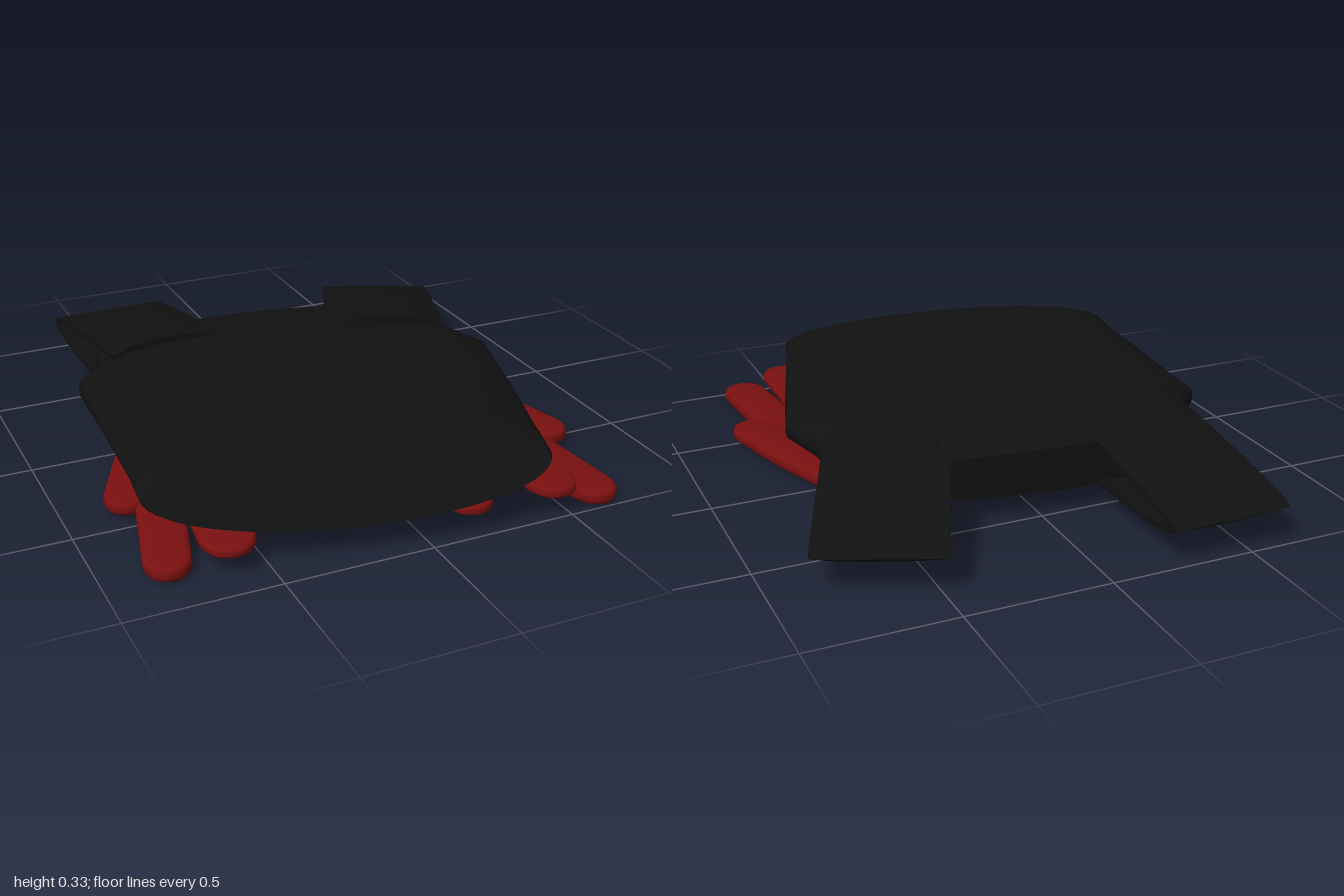
import * as THREE from 'three';
import { toCreasedNormals } from 'three/addons/utils/BufferGeometryUtils.js';

const black = new THREE.MeshStandardMaterial({ color: 0x111111, side: THREE.DoubleSide });
const red = new THREE.MeshStandardMaterial({ color: 0x7a1010 });

function add(parent, name, geometry, material) {
  const mesh = new THREE.Mesh(geometry, material);
  mesh.name = name;
  parent.add(mesh);
  return mesh;
}

// Padded torso: lens-shaped sections from the hem (+z) to the neck (-z).
// Row: left x, left z, right x, right z, top y, bottom y, edge y, slant, bow, roundness
function torsoGeometry() {
  const rows = [
    [-0.83, 0.72, 0.43, 0.955, 0.322, 0.095, 0.205, -0.9, 0.01, 1],
    [-0.84, 0.70, 0.445, 0.94, 0.33, 0.09, 0.205, -0.85, 0.01, 1],
    [-0.83, 0.60, 0.48, 0.82, 0.33, 0.09, 0.205, -0.3, 0.0, 1],
    [-0.825, 0.58, 0.485, 0.80, 0.325, 0.09, 0.205, -0.3, 0.0, 1],
    [-0.80, 0.20, 0.62, 0.37, 0.315, 0.085, 0.2, 0, 0, 0.9],
    [-0.785, -0.05, 0.70, 0.10, 0.302, 0.08, 0.19, 0, 0, 0.8],
    [-0.775, -0.17, 0.655, -0.03, 0.297, 0.078, 0.185, 0, 0, 0.65],
    [-0.66, -0.28, 0.63, -0.14, 0.285, 0.075, 0.175, 0, 0, 0.55],
    [-0.64, -0.40, 0.60, -0.28, 0.262, 0.075, 0.165, 0, -0.02, 0.5],
    [-0.62, -0.50, 0.55, -0.38, 0.237, 0.078, 0.155, 0, -0.05, 0.5],
  ];
  const N = 56, pos = [], idx = [];
  for (const [lx, lz, rx, rz, top, bottom, edge, slant, bow, round] of rows) {
    for (let j = 0; j < N; j++) {
      const a = (j / N) * Math.PI * 2, s = Math.sin(a), u = (1 - Math.cos(a)) / 2;
      const h = Math.sign(s) * Math.pow(Math.abs(s), round);
      const y = edge + h * (s > 0 ? top - edge : edge - bottom);
      pos.push(lx + (rx - lx) * u, y, lz + (rz - lz) * u + slant * (y - edge) + bow * Math.sin(Math.PI * u));
    }
  }
  for (let i = 0; i < rows.length - 1; i++) for (let j = 0; j < N; j++) {
    const k = (j + 1) % N, a = i * N + j, b = i * N + k;
    idx.push(a, b, b + N, a, b + N, a + N);
  }
  // Close both ends with strips between upper and lower edges
  const last = (rows.length - 1) * N;
  for (let j = 0; j < N / 2; j++) {
    const a = j, b = j + 1, c = (N - j) % N, d = N - j - 1;
    idx.push(a, c, d, a, d, b, last + a, last + d, last + c, last + a, last + b, last + d);
  }
  const geo = new THREE.BufferGeometry();
  geo.setAttribute('position', new THREE.Float32BufferAttribute(pos, 3));
  geo.setIndex(idx);
  return toCreasedNormals(geo, 0.6);
}

// Hollow shoulder loop: side profile measured from the tip, extruded across its width
function strapGeometry(width) {
  const profile = [
    [0.76, 0.302], [0.5, 0.26], [0.25, 0.208], [0.08, 0.165], [0.015, 0.14], [0, 0.122], [0.05, 0.088], [0.2, 0.066], [0.76, 0.062],
    [0.76, 0.085], [0.22, 0.088], [0.1, 0.105], [0.05, 0.125], [0.11, 0.155], [0.27, 0.188], [0.5, 0.236], [0.76, 0.278],
  ];
  const shape = new THREE.Shape(profile.map(([d, y]) => new THREE.Vector2(d, y)));
  const geo = new THREE.ExtrudeGeometry(shape, { depth: width, steps: 10, bevelEnabled: false });
  geo.translate(0, 0, -width / 2);
  const p = geo.attributes.position;
  for (let i = 0; i < p.count; i++) {
    const s = Math.abs(p.getZ(i)) / (width / 2);
    const y = p.getY(i);
    p.setY(i, 0.13 + (y - 0.13) * (1 - 0.22 * s * s * s));
  }
  return toCreasedNormals(geo, 0.6);
}

// Flat round-ended feather from its root towards its tip
function featherGeometry(length, half, thick) {
  const b = 0.014, w = half - b, s = new THREE.Shape();
  s.moveTo(-w * 0.6, 0);
  s.lineTo(-w, length * 0.55);
  s.lineTo(-w * 0.92, length - half);
  s.quadraticCurveTo(-w * 0.75, length - b, 0, length - b);
  s.quadraticCurveTo(w * 0.75, length - b, w * 0.92, length - half);
  s.lineTo(w, length * 0.55);
  s.lineTo(w * 0.6, 0);
  s.closePath();
  const geo = new THREE.ExtrudeGeometry(s, {
    depth: thick * 0.2, bevelThickness: thick * 0.4, bevelSize: b, bevelSegments: 3, curveSegments: 8,
  });
  geo.translate(0, 0, -thick * 0.1);
  geo.rotateX(Math.PI / 2);
  return toCreasedNormals(geo, 0.7);
}

export function createModel() {
  const model = new THREE.Group();
  model.name = 'paddedVest';
  add(model, 'torso', torsoGeometry(), black);

  // Shoulder straps: tip position and turn
  for (const [name, x, z, turn] of [
    ['rightShoulderStrap', -0.43, -0.99, -0.02],
    ['leftShoulderStrap', 0.68, -0.785, 0.4],
  ]) {
    const strap = add(model, name, strapGeometry(0.425), black);
    strap.position.set(x, 0, z);
    strap.rotation.y = -(Math.PI / 2 + turn);
  }

  // Folded feather wings: root x, root z, tip x, tip z, height, half width, thickness
  const wings = {
    leftWing: [
      [0.50, -0.2, 0.73, 0.58, 0.034, 0.085, 0.045],
      [0.52, -0.2, 0.64, 0.995, 0.024, 0.085, 0.045],
      [0.46, -0.15, 0.47, 0.995, 0.078, 0.09, 0.035],
      [0.42, -0.15, 0.15, 0.985, 0.082, 0.085, 0.03],
    ],
    rightWing: [
      [-0.50, -0.2, -0.82, 0.45, 0.034, 0.08, 0.045],
      [-0.52, -0.2, -0.81, 0.865, 0.024, 0.08, 0.045],
      [-0.46, -0.15, -0.62, 0.905, 0.076, 0.095, 0.035],
      [-0.42, -0.15, -0.44, 0.83, 0.082, 0.09, 0.03],
    ],
  };
  for (const [name, feathers] of Object.entries(wings)) {
    const wing = new THREE.Group();
    wing.name = name;
    for (const [rx, rz, tx, tz, y, half, thick] of feathers) {
      const f = add(wing, 'feather', featherGeometry(Math.hypot(tx - rx, tz - rz), half, thick), red);
      f.position.set(rx, y, rz);
      f.rotation.y = Math.atan2(tx - rx, tz - rz);
    }
    model.add(wing);
  }

  // Strap holding the wings together underneath
  const band = new THREE.Shape();
  band.moveTo(-0.65, 0);
  band.lineTo(0.61, 0);
  band.quadraticCurveTo(0.56, 0.06, 0.42, 0.072);
  band.lineTo(-0.46, 0.072);
  band.quadraticCurveTo(-0.6, 0.06, -0.65, 0);
  const bandGeo = new THREE.ExtrudeGeometry(band, { depth: 0.1, bevelEnabled: false, curveSegments: 8 });
  add(model, 'wingBand', toCreasedNormals(bandGeo, 0.5), black).position.z = -0.22;
  return model;
}
